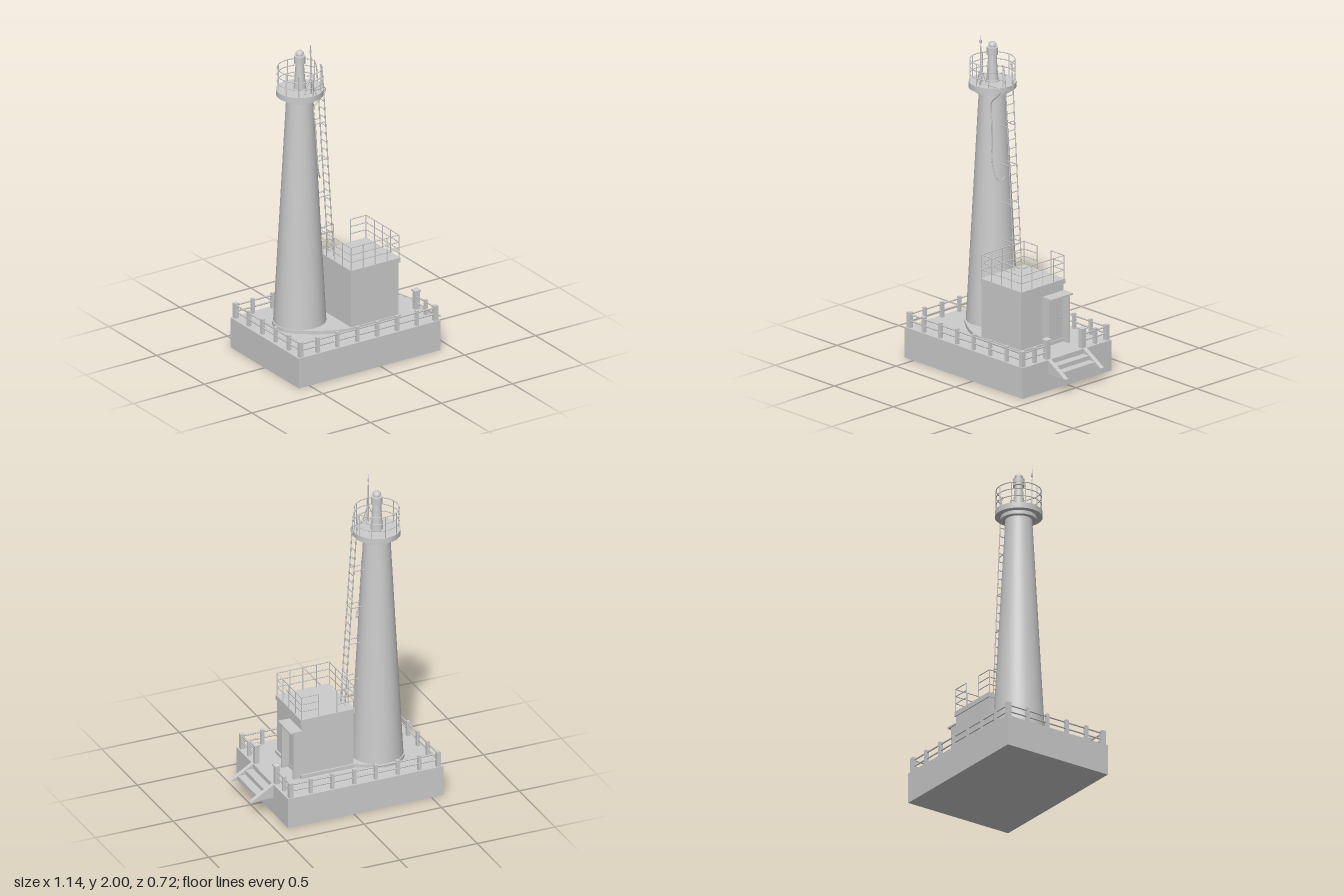
import * as THREE from 'three';

const mat = new THREE.MeshStandardMaterial({ color: 0xcccccc, side: THREE.DoubleSide });
const TX = -0.28, TZ = -0.07, DECK = 0.19, ROOF = 0.575, GALLERY = 1.69;
const towerRadius = (y) => 0.157 - (y - DECK) * 0.0535;
const v = (x, y, z) => new THREE.Vector3(x, y, z);

function add(parent, name, geo, x = 0, y = 0, z = 0) {
  const m = new THREE.Mesh(geo, mat);
  m.name = name;
  m.position.set(x, y, z);
  parent.add(m);
  return m;
}

// box given by its minimum and maximum corners
function box(parent, name, x0, x1, y0, y1, z0, z1) {
  return add(parent, name, new THREE.BoxGeometry(x1 - x0, y1 - y0, z1 - z0),
    (x0 + x1) / 2, (y0 + y1) / 2, (z0 + z1) / 2);
}

// straight round bar between two points
function bar(parent, name, a, b, r = 0.003) {
  const m = add(parent, name, new THREE.CylinderGeometry(r, r, a.distanceTo(b), 6));
  m.position.copy(a).add(b).multiplyScalar(0.5);
  m.quaternion.setFromUnitVectors(v(0, 1, 0), b.clone().sub(a).normalize());
  return m;
}

function tube(parent, name, pts, r = 0.003) {
  return add(parent, name, new THREE.TubeGeometry(new THREE.CatmullRomCurve3(pts), 48, r, 6));
}

function group(parent, name) {
  const g = new THREE.Group();
  g.name = name;
  parent.add(g);
  return g;
}

function lathe(parent, name, profile, seg = 48) {
  return add(parent, name, new THREE.LatheGeometry(profile.map(([r, y]) => new THREE.Vector2(r, y)), seg), TX, 0, TZ);
}

function buildBase(root) {
  box(root, 'base', -0.575, 0.425, 0, DECK, -0.36, 0.36);

  // low plinth wrapping tower and house
  const s = new THREE.Shape();
  s.moveTo(0.25, 0.16);
  s.lineTo(-0.1, 0.16);
  s.absarc(TX, -TZ, 0.163, 1.1, 4.05, false);
  s.quadraticCurveTo(-0.22, -0.19, -0.1, -0.202);
  s.lineTo(0.25, -0.202);
  const g = new THREE.ExtrudeGeometry(s, { depth: 0.022, bevelEnabled: false, curveSegments: 40 });
  g.rotateX(-Math.PI / 2);
  add(root, 'plinth', g, 0, DECK, 0);

  // entrance steps with sloping cheek walls
  const stairs = group(root, 'stairs');
  box(stairs, 'upperStep', 0.42, 0.475, 0.105, 0.16, -0.133, 0.128);
  box(stairs, 'lowerStep', 0.475, 0.525, 0.105, 0.133, -0.133, 0.128);
  const c = new THREE.Shape([new THREE.Vector2(0.42, 0.105), new THREE.Vector2(0.57, 0.105), new THREE.Vector2(0.425, DECK), new THREE.Vector2(0.42, DECK)]);
  for (const z of [-0.16, 0.128])
    add(stairs, 'cheekWall', new THREE.ExtrudeGeometry(c, { depth: 0.027, bevelEnabled: false }), 0, 0, z);
}

function buildFence(root) {
  const fence = group(root, 'fence');
  const post = (x, z, w = 0.02) => box(fence, 'fencePost', x - w / 2, x + w / 2, DECK, 0.285, z - w / 2, z + w / 2);
  for (const z of [-0.34, 0.34]) {
    for (const x of [-0.55, 0.4]) post(x, z, 0.027);
    for (let i = 0; i < 6; i++) post(-0.43 + i * 0.14, z);
  }
  for (const z of [-0.2, -0.06, 0.08, 0.22]) post(-0.55, z);
  for (const z of [-0.25, 0.24]) post(0.4, z);
  for (const y of [0.23, 0.27]) {
    for (const z of [-0.34, 0.34]) bar(fence, 'fenceRail', v(-0.55, y, z), v(0.4, y, z), 0.005);
    bar(fence, 'fenceRail', v(-0.55, y, -0.34), v(-0.55, y, 0.34), 0.005);
    bar(fence, 'fenceRail', v(0.4, y, -0.34), v(0.4, y, -0.147), 0.005);
    bar(fence, 'fenceRail', v(0.4, y, 0.14), v(0.4, y, 0.34), 0.005);
  }
  // gate posts with pyramid caps
  for (const z of [-0.147, 0.14]) {
    box(fence, 'gatePost', 0.385, 0.415, DECK, 0.305, z - 0.015, z + 0.015);
    box(fence, 'gatePostCap', 0.379, 0.421, 0.303, 0.312, z - 0.021, z + 0.021);
    const p = new THREE.ConeGeometry(0.0297, 0.012, 4).toNonIndexed();
    p.rotateY(Math.PI / 4);
    p.computeVertexNormals();
    add(fence, 'gatePostPyramid', p, 0.4, 0.318, z);
  }
}

function buildHouse(root) {
  const house = group(root, 'house');
  box(house, 'walls', -0.095, 0.24, DECK, 0.55, -0.148, 0.195);
  box(house, 'roof', -0.1, 0.248, 0.545, ROOF, -0.155, 0.2);

  // porch and door
  box(house, 'canopy', 0.24, 0.315, 0.492, 0.503, -0.155, 0.022);
  box(house, 'porchWall', 0.24, 0.293, DECK, 0.492, 0.012, 0.022);
  box(house, 'porchWall', 0.24, 0.293, DECK, 0.492, -0.148, -0.138);
  box(house, 'door', 0.24, 0.25, 0.215, 0.48, -0.13, 0.005);
  for (const y of [0.35, 0.365]) add(house, 'doorHandle', new THREE.SphereGeometry(0.005, 8, 6), 0.253, y, -0.115);

  // roof railing, open in the middle of the back
  const rail = group(house, 'roofRailing');
  const X0 = -0.097, X1 = 0.242, Z0 = -0.15, Z1 = 0.194;
  const runs = [[0.012, Z0, X0, Z0], [X0, Z0, X0, Z1], [X0, Z1, X1, Z1], [X1, Z1, X1, Z0], [X1, Z0, 0.132, Z0]];
  for (const [ax, az, bx, bz] of runs) {
    for (const y of [0.628, 0.674, 0.72]) bar(rail, 'roofRail', v(ax, y, az), v(bx, y, bz));
    const n = Math.max(1, Math.round(Math.hypot(bx - ax, bz - az) / 0.087));
    for (let i = 0; i <= n; i++) {
      const x = ax + (bx - ax) * i / n, z = az + (bz - az) * i / n;
      bar(rail, 'roofRailPost', v(x, ROOF, z), v(x, 0.72, z));
    }
  }
}

function buildTower(root) {
  const tower = group(root, 'tower');
  add(tower, 'shaft', new THREE.CylinderGeometry(towerRadius(1.64), towerRadius(DECK), 1.64 - DECK, 48), TX, (1.64 + DECK) / 2, TZ);
  add(tower, 'galleryCollar', new THREE.CylinderGeometry(0.107, 0.107, 0.025, 48), TX, 1.645, TZ);
  add(tower, 'galleryDeck', new THREE.CylinderGeometry(0.14, 0.14, 0.035, 48), TX, GALLERY - 0.0175, TZ);

  // gallery railing, open towards the ladder
  const rail = group(tower, 'galleryRailing');
  const R = 0.132, gap = 0.27, arc = Math.PI * 2 - gap * 2;
  for (const y of [1.737, 1.782, 1.825]) {
    const g = new THREE.TorusGeometry(R, 0.003, 6, 48, arc);
    g.rotateZ(gap).rotateX(Math.PI / 2);
    add(rail, 'galleryRail', g, TX, y, TZ);
  }
  for (let i = 0; i <= 9; i++) {
    const a = gap + arc * i / 9, x = TX + R * Math.cos(a), z = TZ + R * Math.sin(a);
    bar(rail, 'galleryRailPost', v(x, GALLERY, z), v(x, 1.825, z));
  }

  // lantern pedestal, lamp and cap
  const lantern = group(tower, 'lantern');
  lathe(lantern, 'pedestal', [[0.037, GALLERY], [0.037, 1.7], [0.035, 1.7], [0.024, 1.86]], 32);
  add(lantern, 'lamp', new THREE.CylinderGeometry(0.034, 0.034, 0.046, 32), TX, 1.878, TZ);
  add(lantern, 'lampNeck', new THREE.CylinderGeometry(0.018, 0.018, 0.016, 24), TX, 1.908, TZ);
  lathe(lantern, 'lampCap', [[0.024, 1.912], [0.024, 1.922], [0.016, 1.931], [0, 1.934]], 24);

  // antenna on a tripod
  const antenna = group(tower, 'antenna');
  const ax = -0.272, az = 0.032;
  bar(antenna, 'mast', v(ax, GALLERY, az), v(ax, 1.93, az), 0.004);
  bar(antenna, 'whip', v(ax, 1.93, az), v(ax, 2, az), 0.002);
  add(antenna, 'mastFitting', new THREE.CylinderGeometry(0.006, 0.006, 0.02, 8), ax, 1.96, az);
  for (const [dx, dz] of [[-0.04, -0.004], [0.02, 0.03], [0.025, -0.025]])
    bar(antenna, 'tripodLeg', v(ax, 1.8, az), v(ax + dx, GALLERY, az + dz));

  // cable from the antenna, over the deck edge and down the shaft
  const onShaft = (y, a) => v(TX + (towerRadius(y) + 0.004) * Math.cos(a), y, TZ + (towerRadius(y) + 0.004) * Math.sin(a));
  tube(tower, 'cable', [v(ax, 1.78, az), v(-0.25, 1.71, 0.028), v(-0.2, 1.696, 0.01), v(-0.155, 1.694, 0), v(-0.143, 1.672, -0.003),
    v(-0.16, 1.645, -0.003), onShaft(1.58, 0.85), onShaft(1.45, 0.8), onShaft(1.3, 0.8), onShaft(1.18, 0.72),
    v(-0.18, 1.12, -0.01), v(-0.165, 1.108, -0.03), v(-0.165, 1.125, -0.06)], 0.004);
}

function buildLadder(root) {
  const ladder = group(root, 'ladder');
  const zs = [-0.098, -0.038];
  const ladderX = (y) => -0.062 - (y - ROOF) * 0.066;
  for (const z of zs)
    tube(ladder, 'ladderStringer', [v(ladderX(ROOF), ROOF, z), v(ladderX(1), 1, z), v(ladderX(1.4), 1.4, z), v(ladderX(1.68), 1.68, z),
      v(-0.142, 1.77, z), v(-0.15, 1.81, z), v(-0.158, 1.825, z)], 0.0035);
  for (let y = 0.62; y < 1.7; y += 0.0535) bar(ladder, 'rung', v(ladderX(y), y, zs[0]), v(ladderX(y), y, zs[1]));
  // standoffs tying the ladder to the shaft
  for (const y of [0.74, 0.975, 1.21, 1.45])
    for (const z of zs) bar(ladder, 'standoff', v(TX + towerRadius(y) - 0.01, y, z), v(ladderX(y), y, z));
}

export function createModel() {
  const root = new THREE.Group();
  root.name = 'lighthouse';
  buildBase(root);
  buildFence(root);
  buildHouse(root);
  buildTower(root);
  buildLadder(root);
  return root;
}
